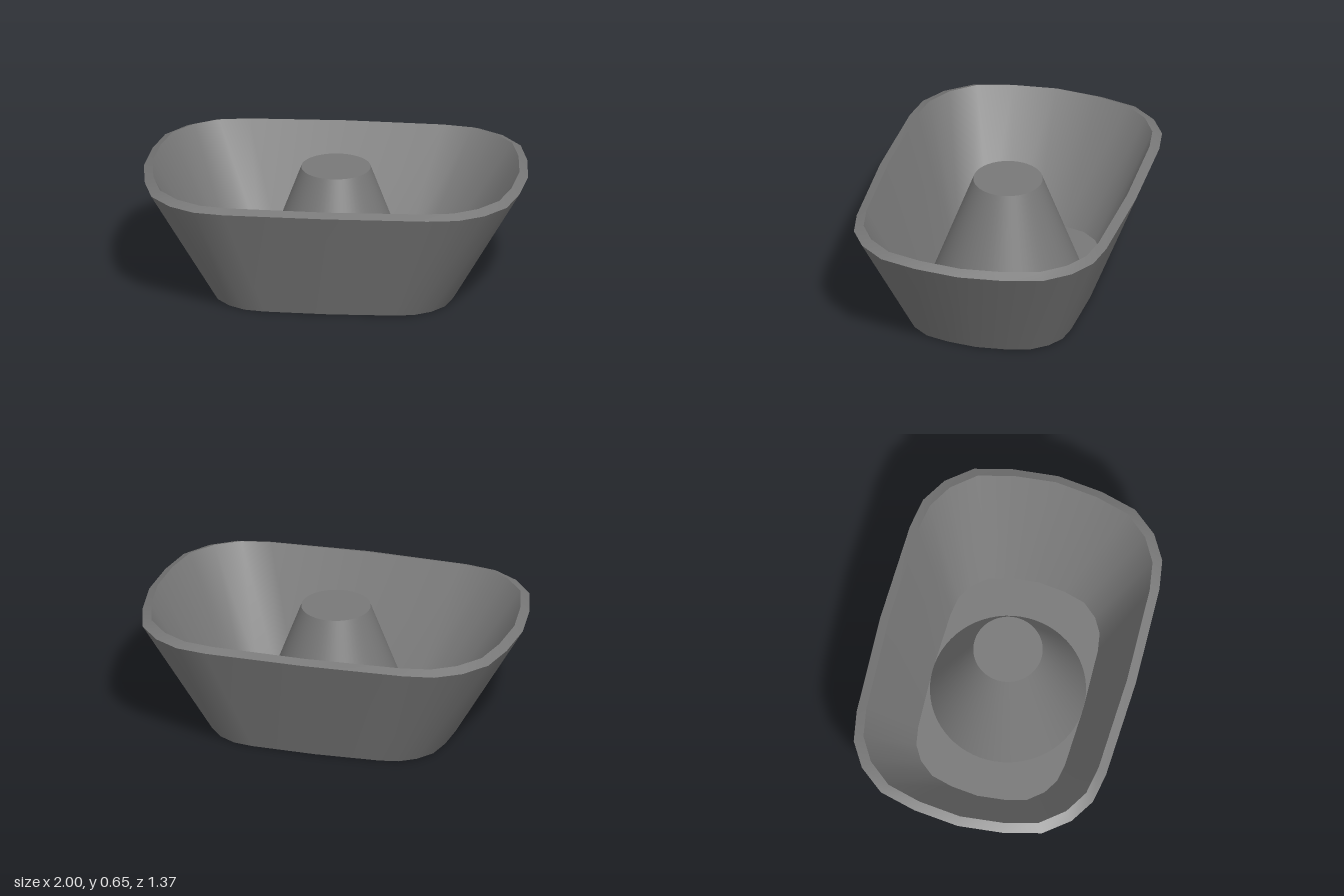
import * as THREE from 'three';

const material = new THREE.MeshStandardMaterial({ color: 0x787878 });

// One quadrant of the rounded outline, in unit size, mirrored to a full loop
const quadrant = [[1, 0], [0.975, 0.35], [0.925, 0.63], [0.82, 0.82], [0.69, 0.935], [0.53, 0.975], [0, 1]];
const flipX = quadrant.slice(0, -1).reverse().map(([x, z]) => [-x, z]);
const half = [...quadrant, ...flipX];
const outline = [...half, ...half.slice(1, -1).reverse().map(([x, z]) => [x, -z])];

// Outline scaled to half-width w and half-depth d; height may differ at the ends
function ring(w, d, ySide, yEnd = ySide) {
  return outline.map(([x, z]) => [x * w, ySide + (yEnd - ySide) * x * x, z * d]);
}

// Closed band between two rings, smooth around the loop
function band(name, from, to) {
  const n = from.length, index = [];
  for (let i = 0; i < n; i++) {
    const j = (i + 1) % n;
    index.push(i, n + i, j, j, n + i, n + j);
  }
  const geometry = new THREE.BufferGeometry();
  geometry.setAttribute('position', new THREE.Float32BufferAttribute([...from, ...to].flat(), 3));
  geometry.setIndex(index);
  geometry.computeVertexNormals();
  const mesh = new THREE.Mesh(geometry, material);
  mesh.name = name;
  return mesh;
}

export function createModel() {
  const model = new THREE.Group();
  model.name = 'basin';
  const floorY = 0.047, topY = 0.65;

  // Tapered shell: underside, outer wall, sloped rim, inner wall, floor
  const names = ['underside', 'outerWall', 'rim', 'innerWall', 'floor'];
  const rings = [
    ring(0, 0, 0),
    ring(0.64, 0.44, 0),
    ring(1, 0.687, 0.631, 0.623),
    ring(0.955, 0.64, topY),
    ring(0.61, 0.405, floorY),
    ring(0, 0, floorY),
  ];
  names.forEach((name, i) => model.add(band(name, rings[i], rings[i + 1])));

  // Truncated cone rising from the floor, level with the rim
  const cone = new THREE.Mesh(new THREE.CylinderGeometry(0.18, 0.405, topY - floorY, 64), material);
  cone.name = 'centreCone';
  cone.position.y = (topY + floorY) / 2;
  model.add(cone);

  return model;
}
